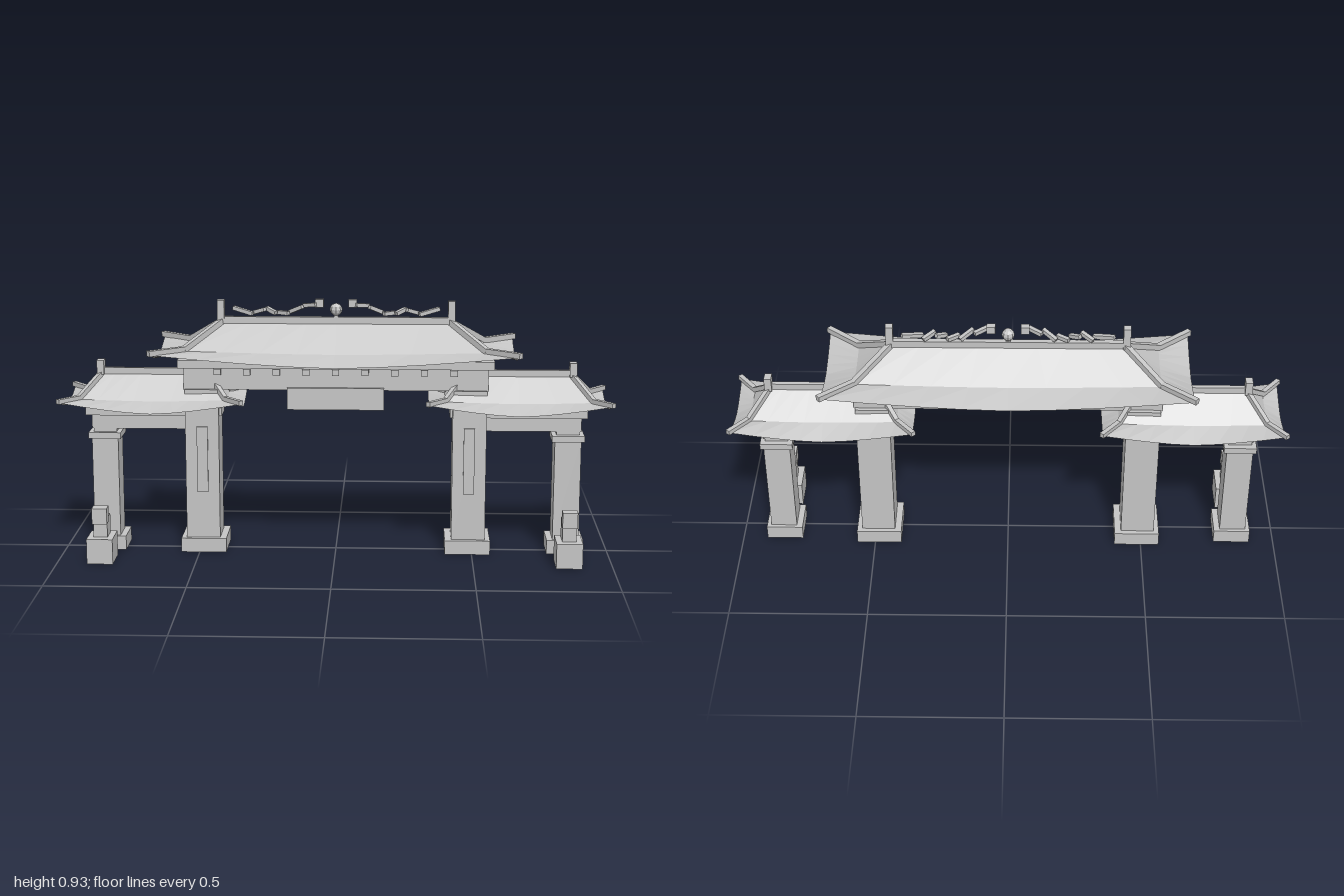
import * as THREE from 'three';

const stone = new THREE.MeshStandardMaterial({ color: 0xc4c4c4, side: THREE.DoubleSide });
stone.name = 'pale grey stone';
stone.flatShading = true;

const CZ = -0.016; // depth of the gate's centre plane

function add(parent, name, geo) {
  const m = new THREE.Mesh(geo, stone);
  m.name = name;
  parent.add(m);
  return m;
}

// Box given by its limits on each axis
function block(parent, name, x0, x1, y0, y1, z0, z1) {
  const m = add(parent, name, new THREE.BoxGeometry(x1 - x0, y1 - y0, z1 - z0));
  m.position.set((x0 + x1) / 2, (y0 + y1) / 2, (z0 + z1) / 2);
  return m;
}

// Square bar running between two points
function bar(parent, name, a, b, w, h) {
  const p = new THREE.Vector3(...a), q = new THREE.Vector3(...b);
  const m = add(parent, name, new THREE.BoxGeometry(w, h, p.distanceTo(q) + w * 0.3));
  m.position.copy(p).add(q).multiplyScalar(0.5);
  m.lookAt(q);
  return m;
}

// Hipped roof skin from rectangular rings; each ring's sides sag between corners
function roofSkin(rings, n) {
  const outline = ({ x, z, y, sag }) => {
    const c = [[x, z], [x, -z], [-x, -z], [-x, z]], pts = [];
    for (let s = 0; s < 4; s++) {
      const a = c[s], b = c[(s + 1) % 4];
      for (let i = 0; i < n; i++) {
        const t = i / n, u = Math.abs(2 * t - 1);
        pts.push([a[0] + (b[0] - a[0]) * t, y - sag * (1 - Math.pow(u, 1.5)), a[1] + (b[1] - a[1]) * t]);
      }
    }
    return pts;
  };
  const loops = rings.map(outline), pos = [];
  for (let k = 0; k + 1 < loops.length; k++) {
    const inn = loops[k], out = loops[k + 1], N = out.length;
    for (let i = 0; i < N; i++) {
      const j = (i + 1) % N;
      pos.push(...out[i], ...out[j], ...inn[j]);
      const gap = Math.hypot(inn[i][0] - inn[j][0], inn[i][2] - inn[j][2]);
      if (gap > 1e-6) pos.push(...out[i], ...inn[j], ...inn[i]);
    }
  }
  const g = new THREE.BufferGeometry();
  g.setAttribute('position', new THREE.Float32BufferAttribute(pos, 3));
  g.computeVertexNormals();
  return g;
}

// Roof skin with ridge, hip bars and ridge-end posts
function makeRoof(name, rings, o) {
  const roof = new THREE.Group();
  roof.name = name;
  const [top, kink, eave] = rings;
  add(roof, 'roofTiles', roofSkin(rings, 8));
  block(roof, 'ridge', -top.x, top.x, top.y - 0.005, o.ridgeTop, -o.w / 2, o.w / 2);
  for (const sx of [-1, 1]) {
    const px = sx * (top.x + 0.008);
    block(roof, 'ridgePost', px - 0.013, px + 0.013, top.y - 0.005, o.postTop, -o.post, o.post);
    for (const sz of [-1, 1]) {
      const pt = (r, e) => [sx * (r.x + e), r.y + o.w * 0.35, sz * (r.z + e)];
      bar(roof, 'hipUpper', pt(top, 0), pt(kink, 0), o.w, o.w);
      bar(roof, 'hipLower', pt(kink, 0), pt(eave, 0.003), o.w, o.w);
    }
  }
  return roof;
}

export function createModel() {
  const model = new THREE.Group();
  model.name = 'ceremonialGate';
  const gate = new THREE.Group();
  gate.name = 'gate';
  gate.position.z = CZ;
  model.add(gate);

  // Main roof
  const mainRoof = makeRoof('mainRoof', [
    { x: 0.41, z: 0, y: 0.846, sag: 0 },
    { x: 0.54, z: 0.118, y: 0.757, sag: 0.01 },
    { x: 0.652, z: 0.21, y: 0.757, sag: 0.043 },
  ], { ridgeTop: 0.866, w: 0.02, postTop: 0.926, post: 0.014 });
  gate.add(mainRoof);

  // Ridge ornament: pearl between two winding serpents
  const pearl = add(gate, 'pearl', new THREE.SphereGeometry(0.023, 8, 6));
  pearl.position.y = 0.893;
  block(gate, 'pearlStand', -0.008, 0.008, 0.86, 0.88, -0.008, 0.008);
  const wave = [[0.374, 0.895], [0.30, 0.878], [0.255, 0.895], [0.215, 0.88], [0.17, 0.88], [0.12, 0.905], [0.07, 0.912]];
  for (const s of [-1, 1]) {
    const serpent = new THREE.Group();
    serpent.name = 'ridgeSerpent';
    gate.add(serpent);
    for (let i = 0; i + 1 < wave.length; i++) {
      bar(serpent, 'serpentBody', [s * wave[i][0], wave[i][1], 0], [s * wave[i + 1][0], wave[i + 1][1], 0], 0.016, 0.014);
    }
    block(serpent, 'serpentHead', s * 0.06 - 0.015, s * 0.06 + 0.015, 0.902, 0.93, -0.012, 0.012);
  }

  // Main lintel, cornice and bracket blocks
  block(gate, 'mainCornice', -0.574, 0.574, 0.684, 0.714, -0.064, 0.064);
  block(gate, 'mainLintel', -0.553, 0.553, 0.605, 0.684, -0.054, 0.054);
  for (let i = -4; i <= 4; i++) {
    block(gate, 'bracketBlock', i * 0.107 - 0.013, i * 0.107 + 0.013, 0.662, 0.684, -0.074, 0.074);
  }
  block(gate, 'namePanel', -0.176, 0.176, 0.535, 0.615, 0.054, 0.068);

  for (const s of [-1, 1]) {
    const side = new THREE.Group();
    side.name = s > 0 ? 'leftWing' : 'rightWing';
    gate.add(side);
    const sb = (name, x0, x1, ...r) => block(side, name, Math.min(s * x0, s * x1), Math.max(s * x0, s * x1), ...r);

    // Main pillar
    sb('mainPillarBase', 0.401, 0.567, 0, 0.052, -0.087, 0.087);
    sb('mainPillar', 0.425, 0.548, 0.052, 0.607, -0.069, 0.069);
    sb('pillarPlate', 0.466, 0.506, 0.225, 0.47, 0.069, 0.075);

    // Outer pillar
    sb('outerPillarBase', 0.775, 0.909, 0, 0.052, -0.067, 0.067);
    sb('outerPillar', 0.797, 0.893, 0.052, 0.422, -0.053, 0.053);
    sb('outerPillarCap', 0.786, 0.904, 0.42, 0.443, -0.063, 0.063);
    sb('outerPillarNeck', 0.803, 0.887, 0.443, 0.457, -0.042, 0.042);

    // Side beams
    sb('sideBeam', 0.545, 0.893, 0.455, 0.508, -0.042, 0.042);
    sb('sideCornice', 0.415, 0.914, 0.506, 0.537, -0.054, 0.054);

    // Side roof
    const roof = makeRoof('sideRoof', [
      { x: 0.19, z: 0, y: 0.656, sag: 0 },
      { x: 0.265, z: 0.092, y: 0.573, sag: 0.006 },
      { x: 0.325, z: 0.165, y: 0.573, sag: 0.038 },
    ], { ridgeTop: 0.675, w: 0.017, postTop: 0.703, post: 0.019 });
    roof.position.x = s * 0.663;
    side.add(roof);

    // Guardian statue in front of the outer pillar
    const lion = new THREE.Group();
    lion.name = 'guardianStatue';
    lion.position.x = s * 0.843;
    model.add(lion);
    block(lion, 'pedestal', -0.047, 0.047, 0, 0.092, 0.118, 0.238);
    block(lion, 'body', -0.025, 0.025, 0.092, 0.163, 0.133, 0.206);
    block(lion, 'head', -0.027, 0.027, 0.145, 0.203, 0.179, 0.224);
  }
  return model;
}
